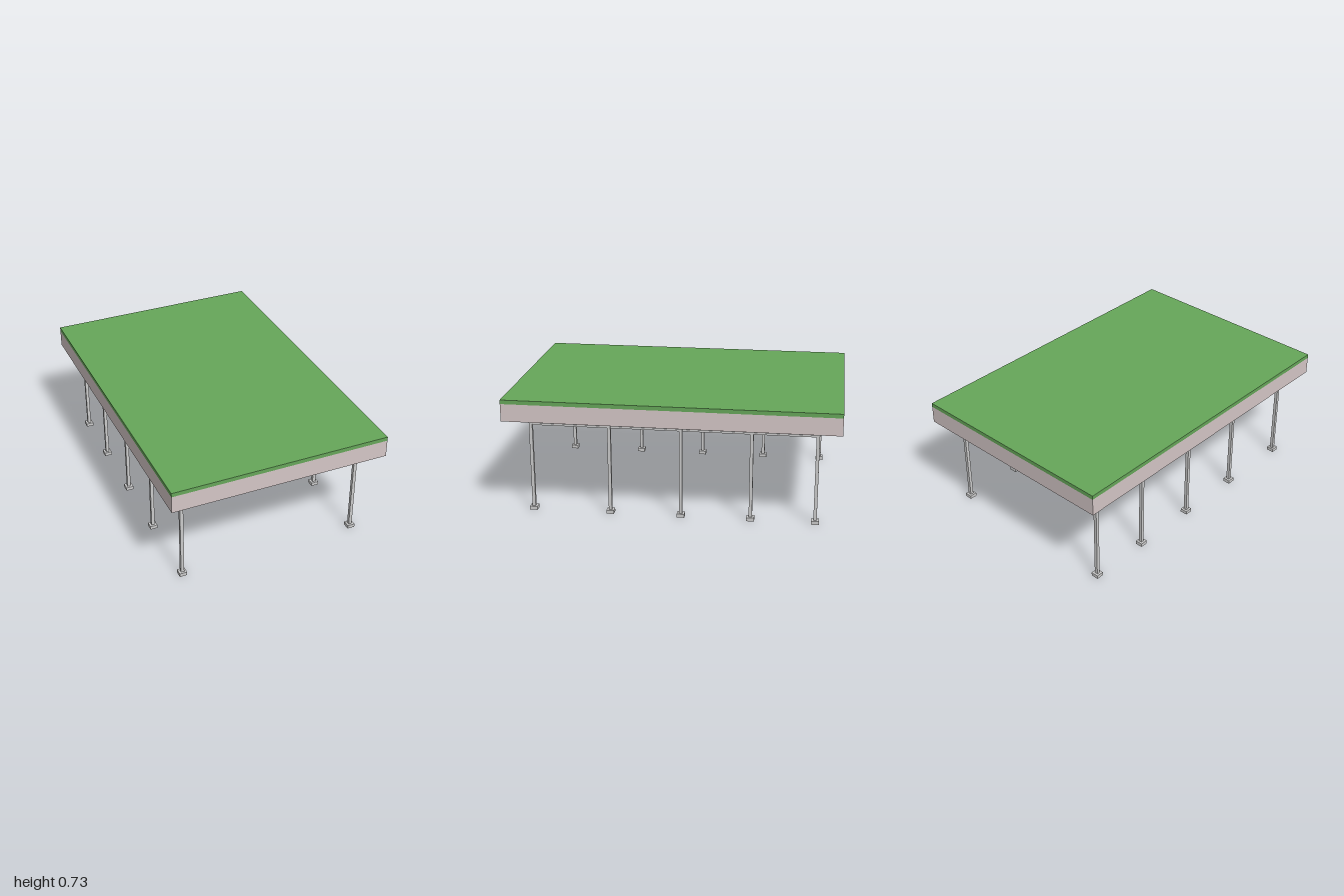
import * as THREE from 'three';
import { mergeGeometries } from 'three/addons/utils/BufferGeometryUtils.js';

const HALF_X = 0.67, HALF_Z = 1;
const COLUMN_X = 0.557;
const COLUMN_Z = [0.85, 0.375, -0.055, -0.475, -0.86];
const EAVES = 0.593, ROOF_BASE = 0.7, ROOF_TOP = 0.725;
const CHORD_LOW = 0.549, CHORD_HIGH = 0.612;

export function createModel() {
  const model = new THREE.Group();
  const steel = new THREE.MeshStandardMaterial({ color: 0xcccccc });
  const green = new THREE.MeshStandardMaterial({ color: 0x66a659 });
  const pink = new THREE.MeshStandardMaterial({ color: 0xd4c6c6 });

  function add(name, geometry, material, parent = model) {
    const mesh = new THREE.Mesh(geometry, material);
    mesh.name = name;
    parent.add(mesh);
    return mesh;
  }

  // Square bar between two points in the truss plane
  function bar(x1, y1, x2, y2, size) {
    const dx = x2 - x1, dy = y2 - y1;
    const g = new THREE.BoxGeometry(Math.hypot(dx, dy), size, size);
    g.rotateZ(Math.atan2(dy, dx));
    g.translate((x1 + x2) / 2, (y1 + y2) / 2, 0);
    return g;
  }

  // Lattice truss along x: two chords, posts and falling diagonals
  function trussGeometry(from, to) {
    const parts = [
      bar(from, CHORD_LOW, to, CHORD_LOW, 0.012),
      bar(from, CHORD_HIGH, to, CHORD_HIGH, 0.012),
    ];
    const panels = Math.round((to - from) / 0.061);
    const step = (to - from) / panels;
    for (let i = 0; i < panels; i++) {
      const x = from + i * step;
      parts.push(bar(x, CHORD_HIGH, x + step, CHORD_LOW, 0.006));
      parts.push(bar(x + step, CHORD_LOW, x + step, CHORD_HIGH, 0.006));
    }
    return mergeGeometries(parts);
  }

  // Roof slab
  const roof = add('roof',
    new THREE.BoxGeometry(HALF_X * 2, ROOF_TOP - ROOF_BASE, HALF_Z * 2), green);
  roof.position.y = (ROOF_TOP + ROOF_BASE) / 2;

  // Fascia: an open rectangular band under the roof edge
  const outline = (hx, hz) => [[-hx, -hz], [hx, -hz], [hx, hz], [-hx, hz]]
    .map(([x, z]) => new THREE.Vector2(x, z));
  const band = new THREE.Shape(outline(HALF_X, HALF_Z));
  band.holes.push(new THREE.Path(outline(HALF_X - 0.015, HALF_Z - 0.015).reverse()));
  const fascia = add('fascia', new THREE.ExtrudeGeometry(band,
    { depth: ROOF_BASE - EAVES, bevelEnabled: false }), pink);
  fascia.rotation.x = -Math.PI / 2;
  fascia.position.y = EAVES;

  // Columns on square footings
  const columnGeo = new THREE.BoxGeometry(0.02, ROOF_BASE - 0.02, 0.02);
  const footGeo = new THREE.BoxGeometry(0.046, 0.022, 0.046);
  for (const side of [-1, 1]) {
    for (const z of COLUMN_Z) {
      const support = new THREE.Group();
      support.name = 'support';
      support.position.set(side * COLUMN_X, 0, z);
      add('column', columnGeo, steel, support).position.y = (ROOF_BASE + 0.02) / 2;
      add('footing', footGeo, steel, support).position.y = 0.011;
      model.add(support);
    }
  }

  // Cross trusses, one per pair of columns
  const crossGeo = trussGeometry(-COLUMN_X, COLUMN_X);
  for (const z of COLUMN_Z) add('crossTruss', crossGeo, steel).position.z = z;

  // Long trusses joining each row of columns
  const longGeo = trussGeometry(COLUMN_Z[4], COLUMN_Z[0]);
  longGeo.rotateY(-Math.PI / 2);
  for (const side of [-1, 1]) add('longTruss', longGeo, steel).position.x = side * COLUMN_X;

  return model;
}
